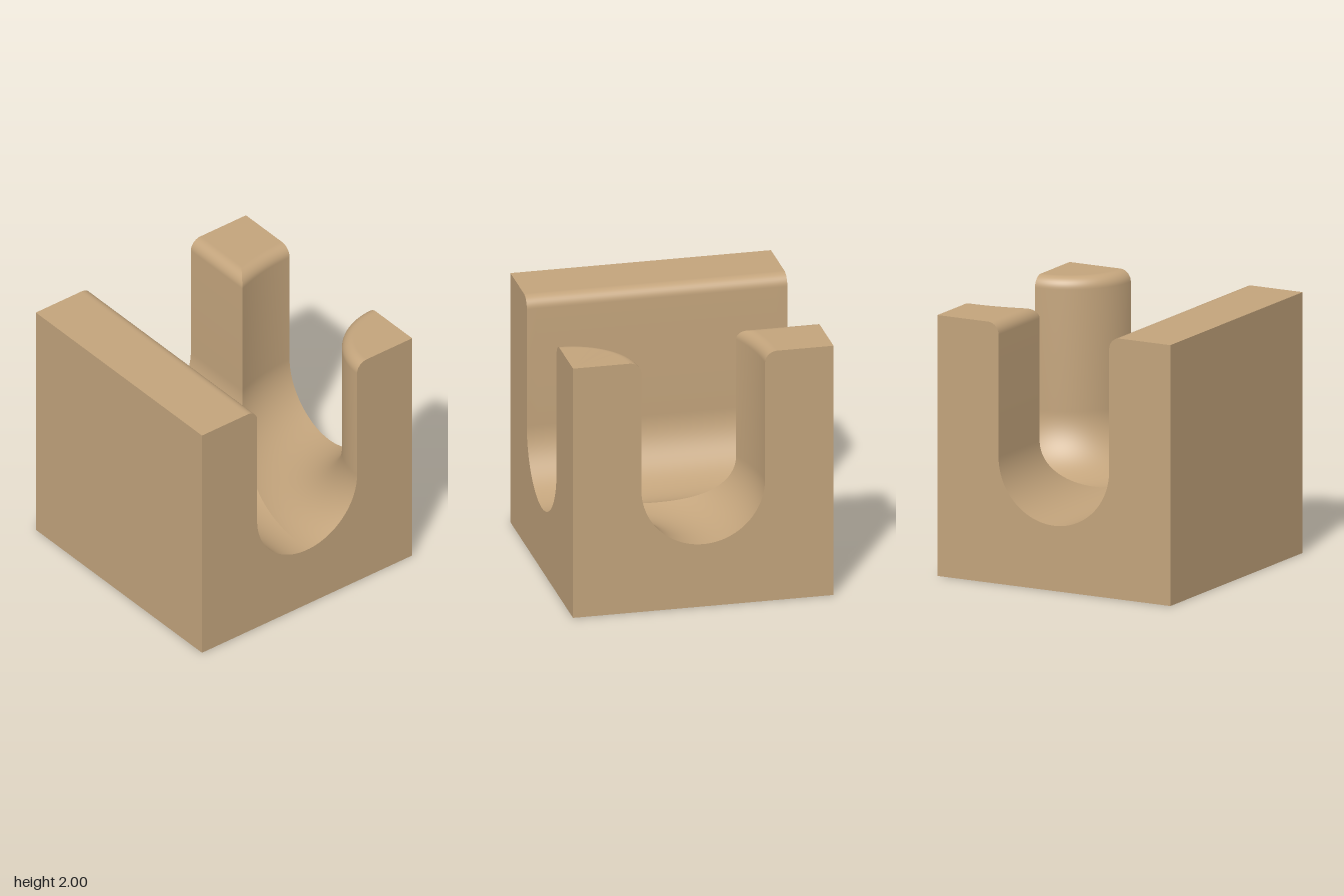
import * as THREE from 'three';
import { toCreasedNormals } from 'three/addons/utils/BufferGeometryUtils.js';

const R = 0.475;      // groove radius
const AXIS_Y = 0.975; // height of the groove axis
const F = 0.09;       // rounding of the top edges

// Half of the groove profile as [distance from groove axis, height]
function halfProfile() {
  const pts = [];
  const floorSteps = 32, filletSteps = 10;
  for (let i = 0; i <= floorSteps; i++) {
    const a = (i / floorSteps) * Math.PI / 2;
    pts.push([R * Math.sin(a), AXIS_Y - R * Math.cos(a)]);
  }
  for (let i = 0; i <= filletSteps; i++) {
    const a = (i / filletSteps) * Math.PI / 2;
    pts.push([R + F * (1 - Math.cos(a)), 2 - F * (1 - Math.sin(a))]);
  }
  pts.push([R + F + 0.01, 2], [1, 2]);
  return pts;
}

// Grid surface: one row per profile point, point(d, t) gives [x, z]
function sweep(profile, cols, point) {
  const pos = [], idx = [];
  profile.forEach(([d, y], i) => {
    for (let j = 0; j <= cols; j++) {
      const [x, z] = point(d, j / cols);
      pos.push(x, y, z);
      if (i < profile.length - 1 && j < cols) {
        const a = i * (cols + 1) + j, b = a + cols + 1;
        idx.push(a, b, a + 1, b, b + 1, a + 1);
      }
    }
  });
  const g = new THREE.BufferGeometry();
  g.setAttribute('position', new THREE.Float32BufferAttribute(pos, 3));
  g.setIndex(idx);
  return toCreasedNormals(g, 0.6);
}

export function createModel() {
  const group = new THREE.Group();
  group.name = 'grooveBlock';
  const wood = new THREE.MeshStandardMaterial({ color: 0xc3a47c });
  wood.name = 'wood';
  const add = (name, geometry) => {
    const mesh = new THREE.Mesh(geometry, wood);
    mesh.name = name;
    group.add(mesh);
    return mesh;
  };

  const half = halfProfile();
  const profile = [...half.slice(1).reverse().map(([d, y]) => [-d, y]), ...half];

  // Straight groove along x with the wall tops; it ends on the parabola
  // that is equally far from both groove axes
  add('straightGroove', sweep(profile, 24, (d, t) => {
    const end = d < 0 ? 1 - 2 * Math.sqrt(-d) : 1;
    return [-1 + (end + 1) * t, d];
  }));

  // Quarter-turn groove around the back corner (1, -1), up to the same parabola
  add('curvedGroove', sweep(profile, 48, (d, t) => {
    const rho = 1 + d;
    const start = d > 0 ? Math.acos((1 - d) / rho) : 0;
    const phi = Math.PI / 2 + (start - Math.PI / 2) * t;
    return [1 - rho * Math.sin(phi), -1 + rho * Math.cos(phi)];
  }));

  // U-shaped faces where the grooves leave the block
  const outline = [[-1, 0], [1, 0], ...profile.slice().reverse()];
  const uShape = new THREE.Shape(outline.map(([x, y]) => new THREE.Vector2(x, y)));
  const uFace = new THREE.ShapeGeometry(uShape);
  for (const [name, angle] of [['leftFace', Math.PI / 2], ['rightFace', -Math.PI / 2], ['backFace', Math.PI]]) {
    add(name, uFace.clone().translate(0, 0, 1).rotateY(angle));
  }

  // Plain front and base
  add('frontFace', new THREE.PlaneGeometry(2, 2).translate(0, 1, 1));
  add('base', new THREE.PlaneGeometry(2, 2).rotateX(Math.PI / 2));

  return group;
}
